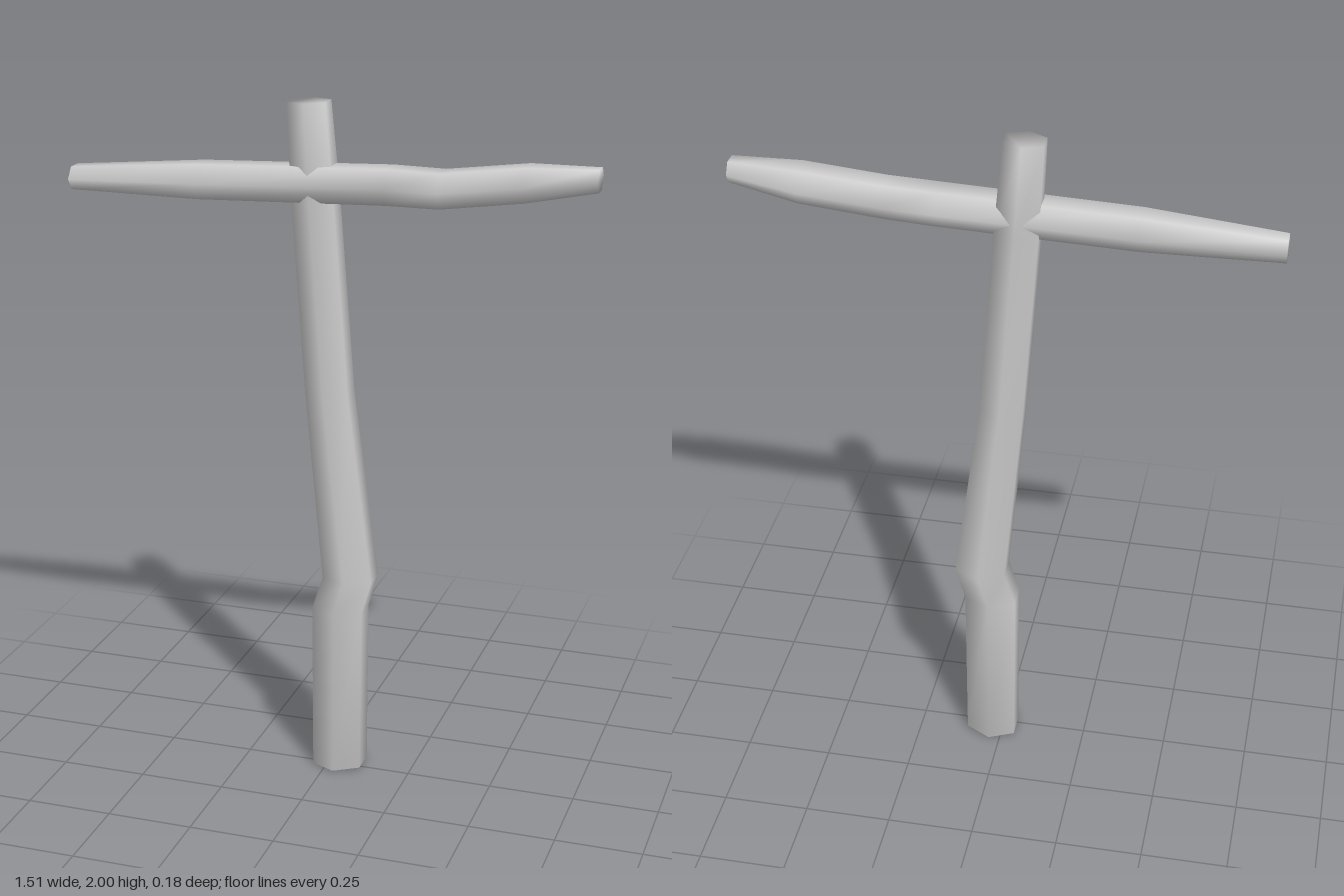
import * as THREE from 'three';

const SIDES = 6;

// Smooth six-sided timber through rings of [along, crossMin, crossMax, zMin, zMax].
// place(along, cross, z) gives the point in model space.
function timber(name, rings, place, flip) {
  const pos = [], index = [];
  for (const [t, u0, u1, z0, z1] of rings) {
    const ru = (u1 - u0) / 2 / Math.cos(Math.PI / 6), rz = (z1 - z0) / 2;
    for (let k = 0; k < SIDES; k++) {
      const a = Math.PI / 2 + (k * 2 * Math.PI) / SIDES;
      pos.push(...place(t, (u0 + u1) / 2 + ru * Math.cos(a), (z0 + z1) / 2 - rz * Math.sin(a)));
    }
  }
  const tri = (a, b, c) => (flip ? index.push(a, c, b) : index.push(a, b, c));
  // Sides
  for (let i = 0; i < rings.length - 1; i++) {
    for (let k = 0; k < SIDES; k++) {
      const a = i * SIDES + k, b = i * SIDES + ((k + 1) % SIDES);
      tri(a, b, b + SIDES);
      tri(a, b + SIDES, a + SIDES);
    }
  }
  // End caps, sharing the rim so the shading stays soft
  const last = (rings.length - 1) * SIDES;
  for (let k = 1; k < SIDES - 1; k++) {
    tri(0, k + 1, k);
    tri(last, last + k, last + k + 1);
  }
  const geo = new THREE.BufferGeometry();
  geo.setAttribute('position', new THREE.Float32BufferAttribute(pos, 3));
  geo.setIndex(index);
  geo.computeVertexNormals();
  const mesh = new THREE.Mesh(geo, new THREE.MeshStandardMaterial({ color: 0xcccccc }));
  mesh.name = name;
  return mesh;
}

export function createModel() {
  const group = new THREE.Group();
  group.name = 'woodenCross';

  // Crooked upright post, kinked near the base; its ends are cut slightly askew
  group.add(timber('post', [
    [0.005, -0.04, 0.105, -0.09, 0.06],
    [0.51, -0.042, 0.108, -0.09, 0.06],
    [0.61, -0.01, 0.137, -0.088, 0.06],
    [1.17, -0.06, 0.065, -0.075, 0.06],
    [1.74, -0.1, 0.022, -0.07, 0.06],
    [1.997, -0.11, 0, -0.055, 0.053],
  ], (t, x, z) => {
    const tilt = t < 0.1 ? 0.05 * (x - 0.03) : t > 1.9 ? 0.04 * (x + 0.055) : 0;
    return [x, t + tilt, z];
  }, false));

  // Bent cross beam, tapering to both ends
  group.add(timber('crossBeam', [
    [-0.755, 1.712, 1.777, -0.037, 0.057],
    [-0.37, 1.712, 1.81, -0.06, 0.078],
    [0.18, 1.732, 1.832, -0.06, 0.078],
    [0.33, 1.735, 1.832, -0.05, 0.09],
    [0.56, 1.765, 1.86, -0.063, 0.077],
    [0.755, 1.803, 1.864, -0.036, 0.048],
  ], (t, y, z) => [t, y, z], true));

  return group;
}
